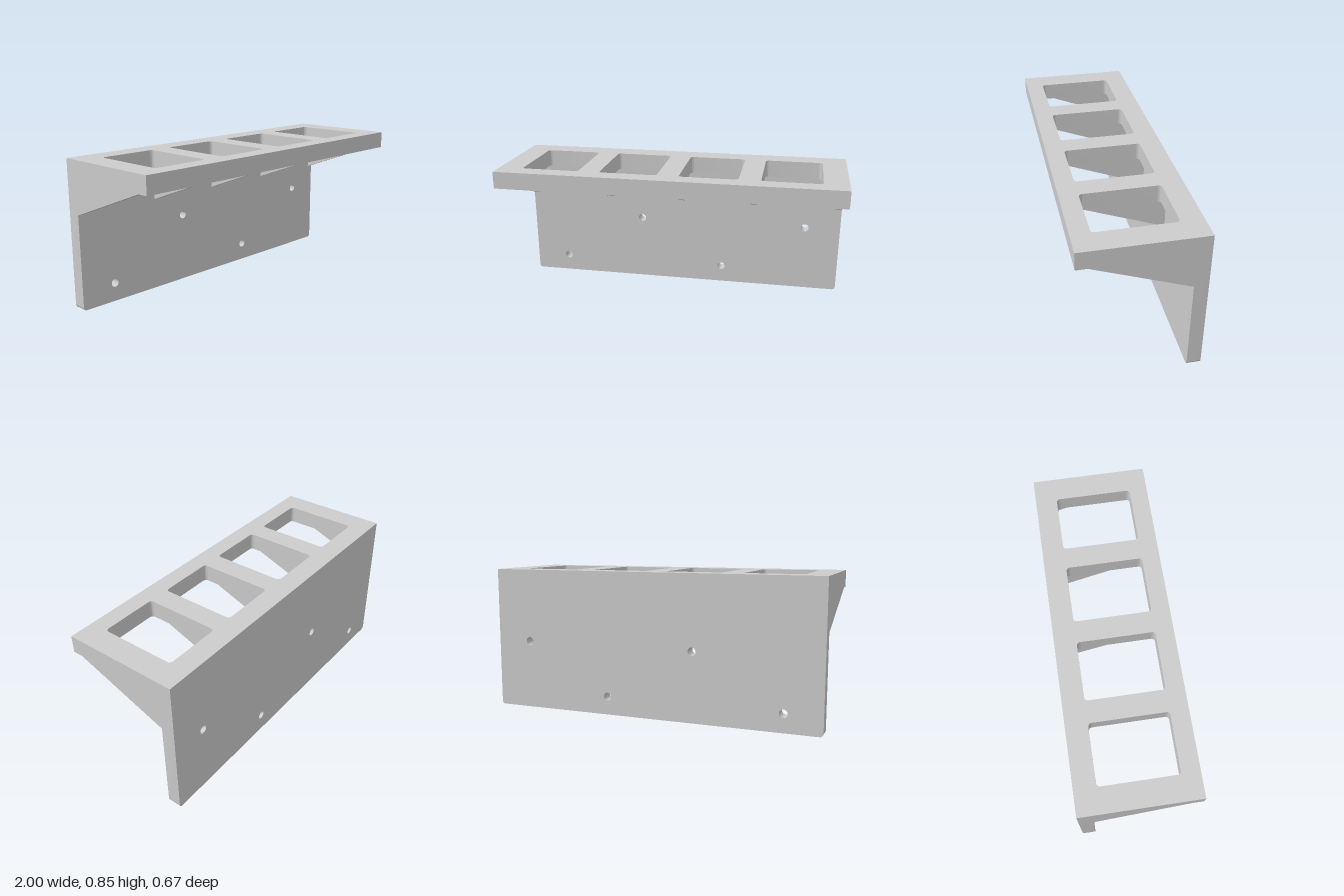
import * as THREE from 'three';
import { toCreasedNormals } from 'three/addons/utils/BufferGeometryUtils.js';

const TOP = 0.845, SHELF_Y = 0.745, BACK = -0.333, FRONT = 0.333, PLATE_FRONT = -0.255;

// Outline of a rectangle, with separate radii for the lower and upper corners
function roundedRect(path, x0, y0, x1, y1, rLow, rHigh = rLow) {
  const corner = (x, y, r, start) => r > 0
    ? path.absarc(x, y, r, start, start + Math.PI / 2, false)
    : path.lineTo(x, y);
  path.moveTo(x0 + rLow, y0);
  corner(x1 - rLow, y0 + rLow, rLow, -Math.PI / 2);
  corner(x1 - rHigh, y1 - rHigh, rHigh, 0);
  corner(x0 + rHigh, y1 - rHigh, rHigh, Math.PI / 2);
  corner(x0 + rLow, y0 + rLow, rLow, Math.PI);
  return path;
}

function extrude(shape, depth) {
  return new THREE.ExtrudeGeometry(shape, { depth, bevelEnabled: false, curveSegments: 12 });
}

export function createModel() {
  const group = new THREE.Group();
  const material = new THREE.MeshStandardMaterial({ color: 0xcccccc });
  const add = (name, geometry) => {
    const mesh = new THREE.Mesh(toCreasedNormals(geometry, 0.7), material);
    mesh.name = name;
    group.add(mesh);
  };

  // Upright wall plate with rounded bottom corners and four screw holes
  const plate = roundedRect(new THREE.Shape(), -1, 0, 1, TOP, 0.02, 0);
  for (const [x, y] of [[-0.785, 0.108], [-0.264, 0.41], [0.261, 0.108], [0.784, 0.41]]) {
    plate.holes.push(new THREE.Path().absarc(x, y, 0.024, 0, Math.PI * 2, true));
  }
  add('wallPlate', extrude(plate, PLATE_FRONT - BACK).translate(0, 0, BACK));

  // Shelf with four rounded rectangular openings
  const shelf = roundedRect(new THREE.Shape(), -1, -FRONT, 1, -PLATE_FRONT, 0);
  for (const x of [-0.692, -0.231, 0.231, 0.692]) {
    shelf.holes.push(roundedRect(new THREE.Path(), x - 0.168, -0.23, x + 0.168, 0.21, 0.02));
  }
  add('shelf', extrude(shelf, TOP - SHELF_Y).rotateX(-Math.PI / 2).translate(0, SHELF_Y, 0));

  // Triangular ribs under the shelf
  const rib = new THREE.Shape([
    new THREE.Vector2(PLATE_FRONT, 0.545),
    new THREE.Vector2(0.272, SHELF_Y),
    new THREE.Vector2(PLATE_FRONT, SHELF_Y),
  ]);
  const width = 0.038;
  [-0.981, -0.461, 0, 0.461, 0.981].forEach((x, i) => {
    add(`rib${i + 1}`, extrude(rib, width).rotateY(-Math.PI / 2).translate(x + width / 2, 0, 0));
  });

  return group;
}
